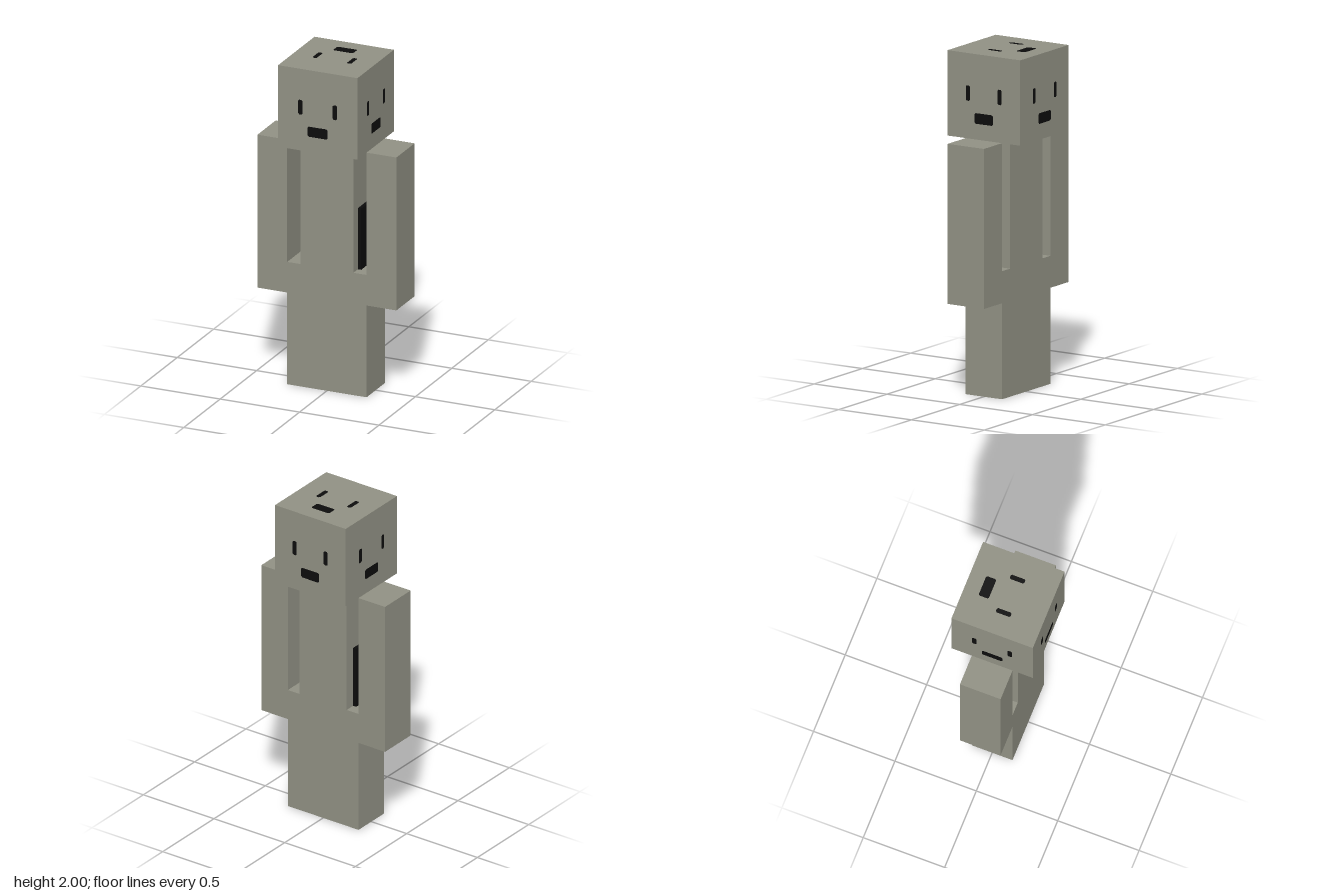
import * as THREE from 'three';

const stone = new THREE.MeshStandardMaterial({ color: 0x919184 });
stone.name = 'stone grey';
const black = new THREE.MeshStandardMaterial({ color: 0x0c0c0c });
black.name = 'black';

const HEAD = 0.25;      // half the head's side
const HEAD_Y = 1.75;    // head centre

function addMesh(parent, name, geometry, material, x = 0, y = 0, z = 0) {
  const mesh = new THREE.Mesh(geometry, material);
  mesh.name = name;
  mesh.position.set(x, y, z);
  parent.add(mesh);
  return mesh;
}

// Flat rectangle with small cut corners
function cutPlate(w, h, c) {
  const a = w / 2, b = h / 2;
  const corners = [
    [a - c, -b], [a, -b + c], [a, b - c], [a - c, b],
    [-a + c, b], [-a, b - c], [-a, -b + c], [-a + c, -b],
  ];
  return new THREE.ShapeGeometry(new THREE.Shape(corners.map(([x, y]) => new THREE.Vector2(x, y))));
}

// Two eyes and a mouth, lying just above one side of the head
function makeFace(name) {
  const face = new THREE.Group();
  face.name = name;
  const z = HEAD + 0.002;
  for (const s of [-1, 1]) {
    addMesh(face, s > 0 ? 'leftEye' : 'rightEye', cutPlate(0.028, 0.09, 0.007), black, s * 0.109, 0.016, z);
  }
  addMesh(face, 'mouth', cutPlate(0.126, 0.062, 0.007), black, 0, -0.126, z);
  return face;
}

export function createModel() {
  const model = new THREE.Group();
  model.name = 'blockFigure';

  // Body: one slab holding legs, hips, raised arms and torso
  const half = [
    [0.25, 0], [0.25, 0.5625], [0.4375, 0.5625], [0.4375, 1.5],
    [0.25, 1.5], [0.25, 0.75], [0.1667, 0.75], [0.1667, 1.5],
  ];
  const outline = [...half, ...half.map(([x, y]) => [-x, y]).reverse()];
  const shape = new THREE.Shape(outline.map(([x, y]) => new THREE.Vector2(x, y)));
  const slab = new THREE.ExtrudeGeometry(shape, { depth: 0.25, bevelEnabled: false });
  addMesh(model, 'body', slab, stone, 0, 0, -0.125);

  // Dark strips on the torso sides, inside the slots
  for (const s of [-1, 1]) {
    addMesh(model, s > 0 ? 'leftStrip' : 'rightStrip',
      new THREE.BoxGeometry(0.0208, 0.375, 0.125), black, s * 0.1771, 0.9375, 0);
  }

  // Head with the same face on every side
  const head = new THREE.Group();
  head.name = 'head';
  head.position.y = HEAD_Y;
  model.add(head);
  addMesh(head, 'skull', new THREE.BoxGeometry(2 * HEAD, 2 * HEAD, 2 * HEAD), stone);

  ['frontFace', 'leftFace', 'backFace', 'rightFace'].forEach((name, i) => {
    const face = makeFace(name);
    face.rotation.y = i * Math.PI / 2;
    head.add(face);
  });
  const topFace = makeFace('topFace');
  topFace.rotation.set(-Math.PI / 2, 0, Math.PI);
  head.add(topFace);
  const bottomFace = makeFace('bottomFace');
  bottomFace.rotation.set(Math.PI / 2, 0, Math.PI);
  head.add(bottomFace);

  return model;
}
